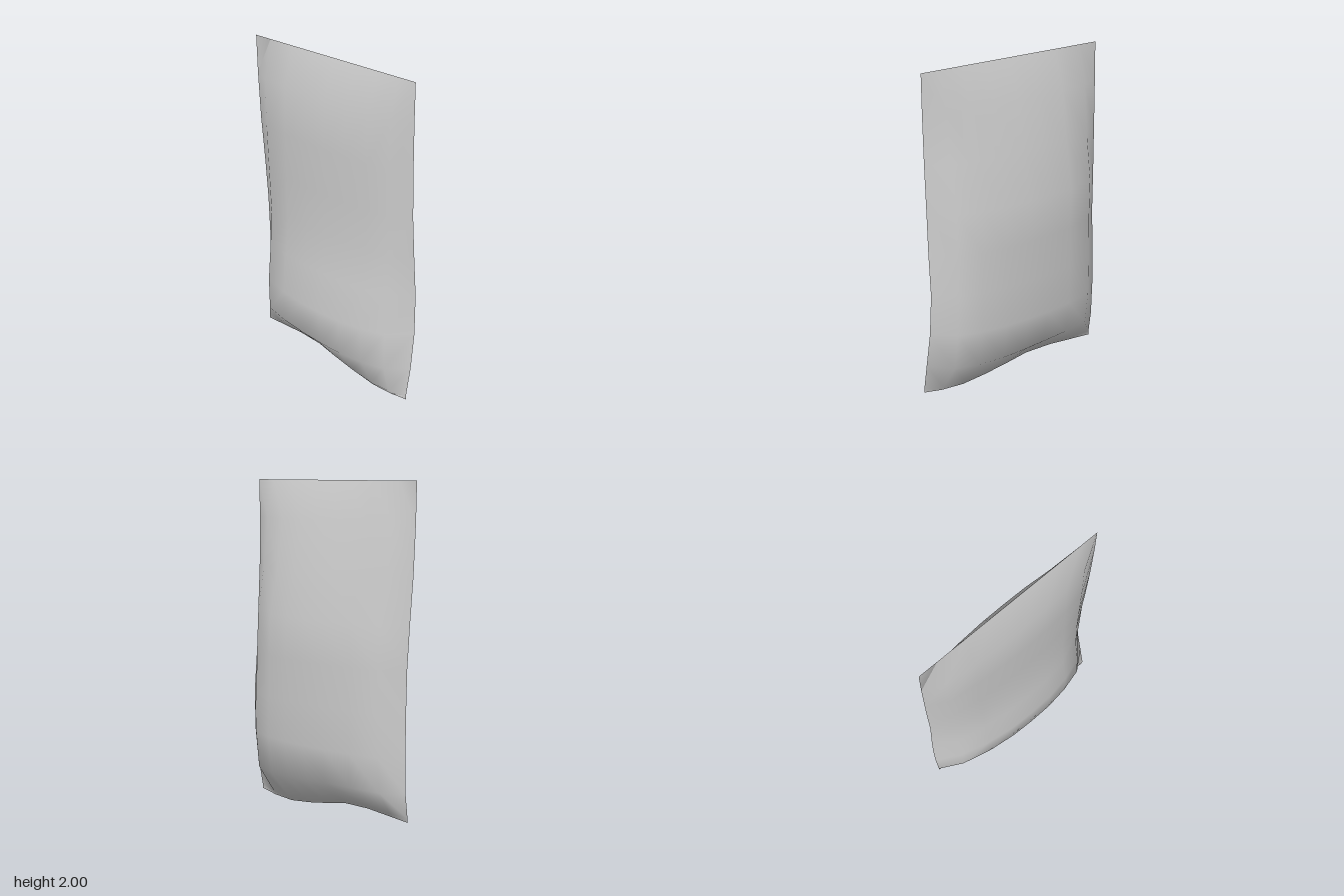
import * as THREE from 'three';

// Rows from top to bottom: height, seam x at front and back edge, edge z front and back, bulge x on each side
const rows = [
  [2.0, -0.03, -0.03, 0.595, -0.62, -0.03, -0.03],
  [1.77, -0.03, -0.025, 0.595, -0.62, 0.06, -0.115],
  [1.48, -0.025, -0.015, 0.595, -0.615, 0.11, -0.125],
  [1.2, -0.015, 0.0, 0.595, -0.605, 0.185, -0.13],
  [0.95, 0.0, 0.01, 0.6, -0.597, 0.19, -0.132],
  [0.7, 0.02, 0.02, 0.603, -0.6, 0.19, -0.157],
  [0.45, 0.01, 0.025, 0.612, -0.603, 0.19, -0.195],
  [0.22, -0.025, 0.02, 0.62, -0.603, 0.16, -0.188],
  [0.05, -0.06, 0.0, 0.62, -0.603, -0.01, -0.06],
  [0.0, -0.06, 0.0, 0.62, -0.603, -0.03, -0.04],
];

// Columns from back to front: position along the width, fullness, height of the wavy hem
const columns = [
  [0, 0, 0.065], [0.1, 0.63, 0.073], [0.25, 0.86, 0.085], [0.4, 0.98, 0.08],
  [0.52, 1, 0.05], [0.65, 0.98, 0.022], [0.78, 0.86, 0.003], [0.9, 0.63, 0.01], [1, 0, 0.03],
];

// One bulging sheet of the cushion; side is +1 for +x and -1 for -x
function sheet(side) {
  const positions = [], index = [];
  const n = columns.length;
  rows.forEach(([y, seamFront, seamBack, zFront, zBack, bulgeLeft, bulgeRight], r) => {
    for (const [u, fullness, hem] of columns) {
      const seam = THREE.MathUtils.lerp(seamBack, seamFront, u);
      const bulge = side > 0 ? bulgeLeft : bulgeRight;
      const last = r === rows.length - 1;
      let x = seam + fullness * (bulge - seam);
      // keep the hem closed and slightly rounded
      if (last) x = seam;
      else if (r === rows.length - 2) x = seam + side * 0.025 * fullness;
      const drop = Math.max(0, 1 - y / 0.45);
      const height = last ? hem : r === rows.length - 2 ? hem + 0.025 : y + hem * 0.5 * drop;
      positions.push(x, height, THREE.MathUtils.lerp(zBack, zFront, u));
    }
  });
  for (let r = 0; r < rows.length - 1; r++) {
    for (let c = 0; c < n - 1; c++) {
      const a = r * n + c, b = a + 1, d = a + n, e = d + 1;
      if (side > 0) index.push(a, b, d, b, e, d);
      else index.push(a, d, b, b, d, e);
    }
  }
  const geometry = new THREE.BufferGeometry();
  geometry.setAttribute('position', new THREE.Float32BufferAttribute(positions, 3));
  geometry.setIndex(index);
  geometry.computeVertexNormals();
  return geometry;
}

export function createModel() {
  const group = new THREE.Group();
  group.name = 'paddedPanel';
  const material = new THREE.MeshStandardMaterial({ color: 0xcccccc, side: THREE.DoubleSide });
  for (const side of [1, -1]) {
    const mesh = new THREE.Mesh(sheet(side), material);
    mesh.name = side > 0 ? 'leftSheet' : 'rightSheet';
    group.add(mesh);
  }
  return group;
}
